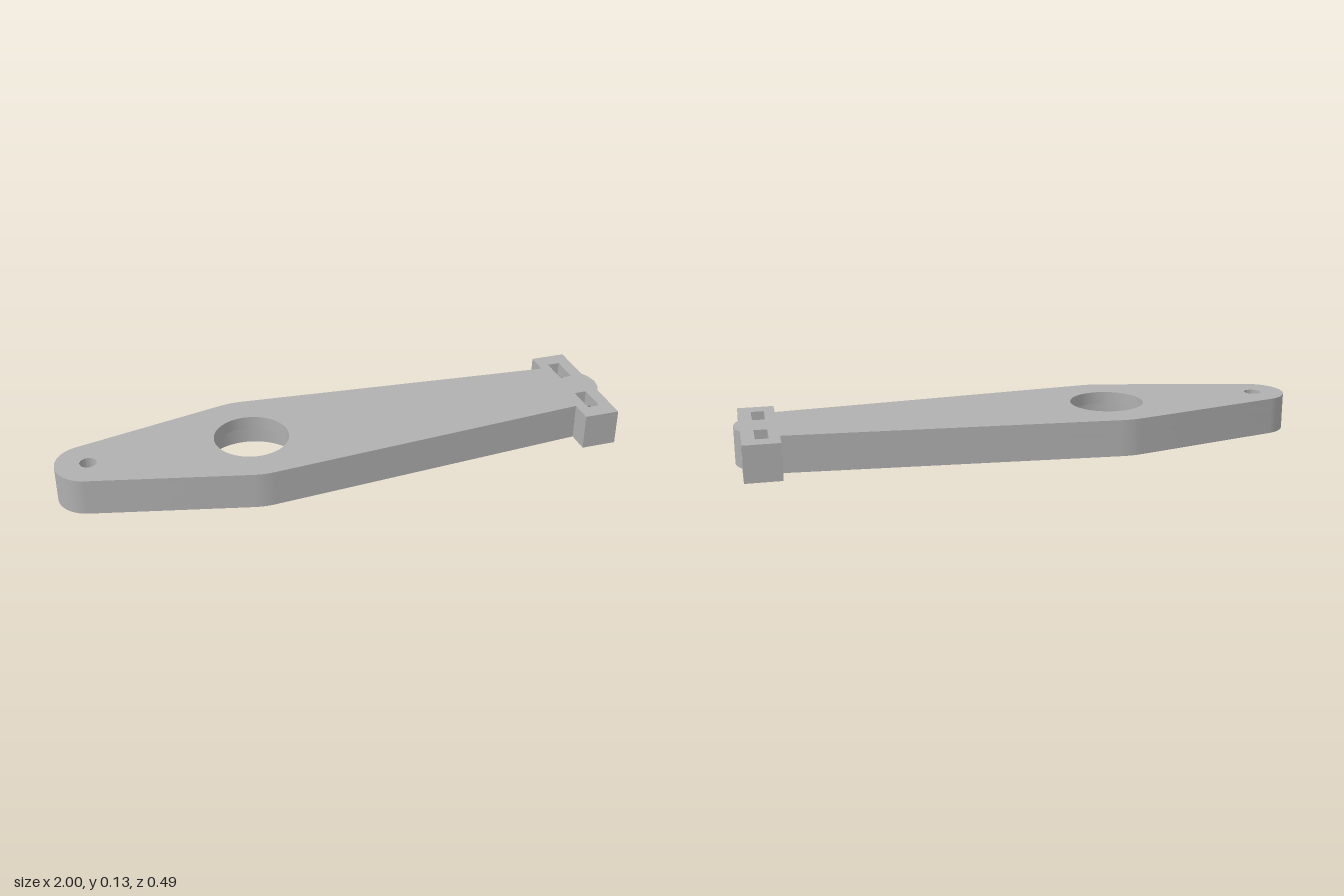
import * as THREE from 'three';
import { toCreasedNormals } from 'three/addons/utils/BufferGeometryUtils.js';

const HEIGHT = 0.13, LEDGE = 0.085;              // plate height, top of the counterbore
const HUB = { x: -0.32, r: 0.244 }, TIP = { x: -0.887, r: 0.113 };
const HEAD = { back: 0.853, front: 0.98, half: 0.228 };
const BOLT = { z: 0.114, y: 0.066, r: 0.028 };
const NUT = { back: 0.89, front: 0.935, r: 0.053 };

const circle = (x, y, r) => new THREE.Path().absarc(x, y, r, 0, Math.PI * 2, false);

function extrude(shape, depth) {
  return new THREE.ExtrudeGeometry(shape, { depth, bevelEnabled: false, curveSegments: 40 });
}

// Extrude a plan outline upwards from y0 to y1
function upright(shape, y0, y1) {
  return toCreasedNormals(extrude(shape, y1 - y0).rotateX(-Math.PI / 2).translate(0, y0, 0), 0.4);
}

// Extrude an end-on profile along x from x0 to x1
function lengthwise(shape, x0, x1) {
  return toCreasedNormals(extrude(shape, x1 - x0).rotateY(Math.PI / 2).translate(x0, 0, 0), 0.4);
}

// Tapered arm: straight sides tangent to the hub and tip circles
function armShape(boreRadius) {
  const a1 = Math.acos(0.083), a2 = Math.acos(-(HUB.r - TIP.r) / (HUB.x - TIP.x));
  const full = Math.PI * 2, s = new THREE.Shape();
  s.moveTo(HEAD.back, -0.147);
  s.lineTo(HEAD.back, 0.147);
  s.absarc(HUB.x, 0, HUB.r, a1, a2, false);
  s.absarc(TIP.x, 0, TIP.r, a2, full - a2, false);
  s.absarc(HUB.x, 0, HUB.r, full - a2, full - a1, false);
  s.closePath();
  s.holes.push(circle(HUB.x, 0, boreRadius), circle(TIP.x, 0, 0.029));
  return s;
}

// Crosspiece section with two bolt holes
function boltedSection() {
  const h = HEAD.half;
  const s = new THREE.Shape([[-h, 0], [h, 0], [h, HEIGHT], [-h, HEIGHT]].map(p => new THREE.Vector2(...p)));
  for (const side of [-1, 1]) s.holes.push(circle(side * BOLT.z, BOLT.y, BOLT.r));
  return s;
}

// Crosspiece section with two nut pockets, open at the top and half-hexagonal below
function pocketSection() {
  const h = HEAD.half, r = NUT.r, floor = BOLT.y - r * 0.866;
  const pts = [[-h, 0], [h, 0], [h, HEIGHT]];
  for (const side of [1, -1]) {
    const c = side * BOLT.z;
    pts.push([c + r, HEIGHT], [c + r, BOLT.y], [c + r / 2, floor],
      [c - r / 2, floor], [c - r, BOLT.y], [c - r, HEIGHT]);
  }
  pts.push([-h, HEIGHT]);
  return new THREE.Shape(pts.map(p => new THREE.Vector2(...p)));
}

// Shallow rounded nose in the middle of the end face
function noseShape() {
  const half = 0.066, rise = 1 - HEAD.front;
  const r = (half * half + rise * rise) / (2 * rise), a = Math.asin(half / r);
  const s = new THREE.Shape();
  s.absarc(1 - r, 0, r, -a, a, false);
  s.closePath();
  return s;
}

export function createModel() {
  const model = new THREE.Group();
  model.name = 'leverArm';
  const grey = new THREE.MeshStandardMaterial({ color: 0xb0b0b0 });
  grey.name = 'grey';

  const add = (name, geometry) => {
    const mesh = new THREE.Mesh(geometry, grey);
    mesh.name = name;
    model.add(mesh);
  };

  // Arm, with the hub bore wider underneath
  add('armLower', upright(armShape(0.175), 0, LEDGE));
  add('armUpper', upright(armShape(0.131), LEDGE, HEIGHT));

  // Clamping crosspiece
  add('crosspieceBack', lengthwise(boltedSection(), HEAD.back, NUT.back));
  add('crosspieceNutPockets', lengthwise(pocketSection(), NUT.back, NUT.front));
  add('crosspieceFront', lengthwise(boltedSection(), NUT.front, HEAD.front));
  add('endNose', upright(noseShape(), 0, HEIGHT));

  return model;
}
